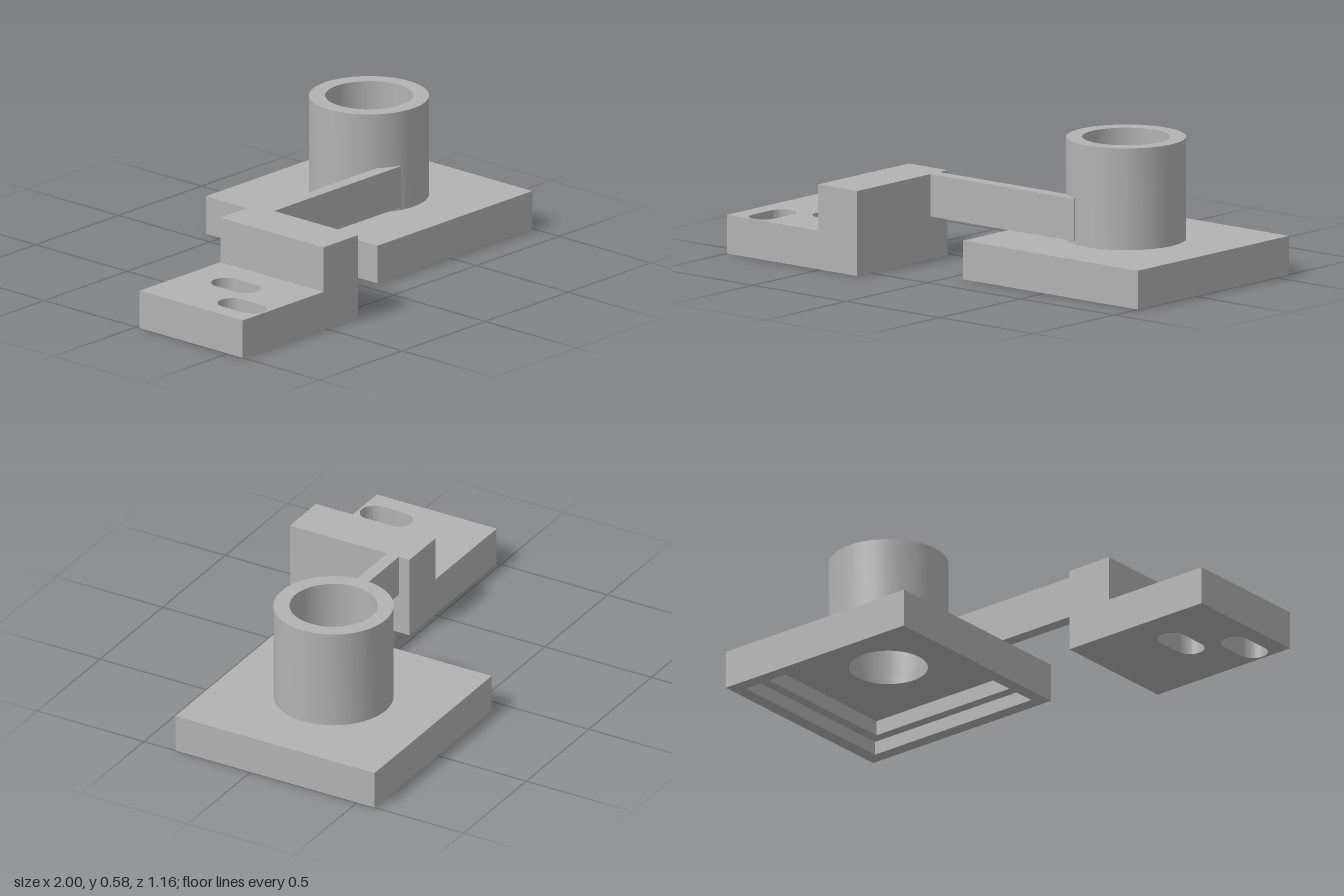
import * as THREE from 'three';
import { toCreasedNormals } from 'three/addons/utils/BufferGeometryUtils.js';

const grey = new THREE.MeshStandardMaterial({ color: 0xb2b2b2 });
grey.name = 'grey';

function addMesh(parent, name, geometry) {
  const mesh = new THREE.Mesh(geometry, grey);
  mesh.name = name;
  parent.add(mesh);
}

// Rectangle path in plan; the path's y is -z
function rect(path, x0, x1, z0, z1) {
  path.moveTo(x0, -z1);
  path.lineTo(x1, -z1);
  path.lineTo(x1, -z0);
  path.lineTo(x0, -z0);
  path.closePath();
  return path;
}

// Upright slab with plan outline and holes, from y0 to y1
function slab(bounds, holes, y0, y1) {
  const shape = rect(new THREE.Shape(), ...bounds);
  shape.holes.push(...holes);
  const geo = new THREE.ExtrudeGeometry(shape, { depth: y1 - y0, bevelEnabled: false, curveSegments: 32 });
  geo.rotateX(-Math.PI / 2).translate(0, y0, 0);
  return toCreasedNormals(geo, 0.6);
}

function box(x0, x1, y0, y1, z0, z1) {
  return new THREE.BoxGeometry(x1 - x0, y1 - y0, z1 - z0)
    .translate((x0 + x1) / 2, (y0 + y1) / 2, (z0 + z1) / 2);
}

// Rounded slot, long along z
function slot(x, z0, z1, r) {
  const path = new THREE.Path();
  path.absarc(x, -z0 - r, r, 0, Math.PI, false);
  path.absarc(x, -z1 + r, r, Math.PI, Math.PI * 2, false);
  path.closePath();
  return path;
}

export function createModel() {
  const model = new THREE.Group();
  model.name = 'bracketAssembly';

  // Square base, hollowed below in two steps
  const base = new THREE.Group();
  base.name = 'base';
  model.add(base);
  const cx = 0.5325, cz = -0.115, half = 0.4675;
  const square = (h) => [cx - h, cx + h, cz - h, cz + h];
  const bounds = square(half);
  const opening = (h) => rect(new THREE.Path(), ...square(h));
  const bore = new THREE.Path();
  bore.absarc(cx, -cz, 0.16, 0, Math.PI * 2, true);
  addMesh(base, 'baseRim', slab(bounds, [opening(half - 0.057)], 0, 0.057));
  addMesh(base, 'baseStep', slab(bounds, [opening(half - 0.102)], 0.057, 0.12));
  addMesh(base, 'basePlate', slab(bounds, [bore], 0.12, 0.16));

  // Hollow tube standing on the base
  const profile = [[0.178, 0.16], [0.243, 0.16], [0.243, 0.58], [0.178, 0.58], [0.178, 0.16]]
    .map(([r, y]) => new THREE.Vector2(r, y));
  const tube = toCreasedNormals(new THREE.LatheGeometry(profile, 72), 0.6);
  addMesh(model, 'tube', tube.translate(cx, 0, cz));

  // Thin arm joining the tube to the mount
  addMesh(model, 'arm', box(-0.305, 0.46, 0.175, 0.35, 0.07, 0.125));

  // Mount: upright block and slotted foot
  const mount = new THREE.Group();
  mount.name = 'mount';
  model.add(mount);
  addMesh(mount, 'uprightBlock', box(-0.513, -0.305, 0, 0.35, 0.02, 0.582));
  const slots = [slot(-0.69, 0.15, 0.38, 0.06), slot(-0.863, 0.342, 0.572, 0.06)];
  addMesh(mount, 'slottedFoot', slab([-1, -0.513, 0.02, 0.582], slots, 0, 0.16));

  return model;
}
